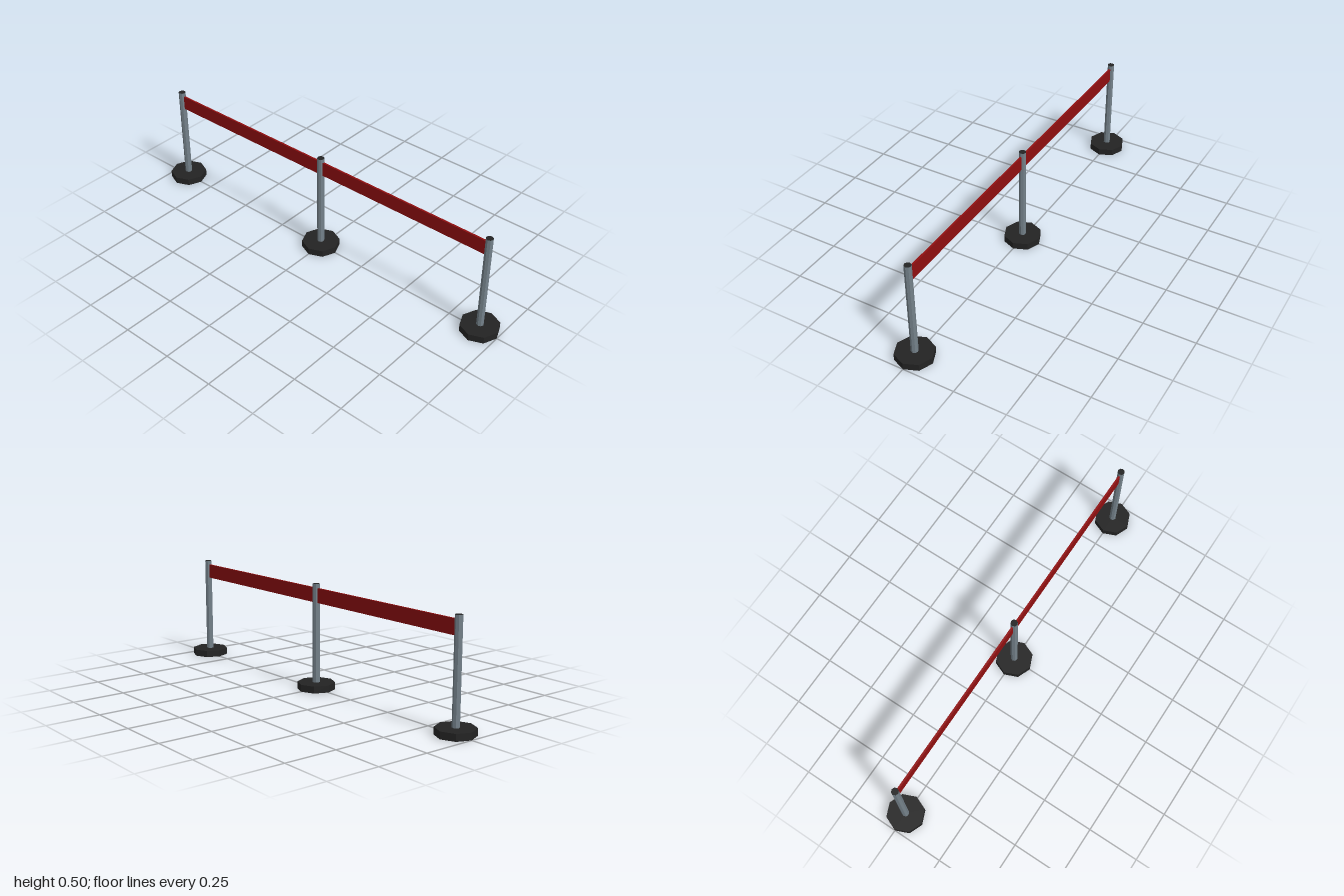
import * as THREE from 'three';

export function createModel() {
  const model = new THREE.Group();
  model.name = 'queueBarrier';

  const material = (name, color, flatShading = true) => {
    const m = new THREE.MeshStandardMaterial({ color, flatShading });
    m.name = name;
    return m;
  };
  const black = material('blackRubber', 0x232323);
  const steel = material('greySteel', 0x74818a);
  const red = material('redBelt', 0x900f10);

  const add = (parent, name, geometry, mat, x, y) => {
    const mesh = new THREE.Mesh(geometry, mat);
    mesh.name = name;
    mesh.position.set(x, y, 0);
    parent.add(mesh);
  };

  const spacing = 0.91;
  const baseHeight = 0.033;
  const postTop = 0.502;
  const postHeight = postTop - baseHeight;
  const baseGeometry = new THREE.CylinderGeometry(0.09, 0.09, baseHeight, 8);
  const postGeometry = new THREE.CylinderGeometry(0.017, 0.017, postHeight, 8);

  // Three posts on octagonal feet, each with a dark top face
  for (const [name, x] of [['rightPost', -spacing], ['middlePost', 0], ['leftPost', spacing]]) {
    const stand = new THREE.Group();
    stand.name = name;
    stand.position.x = x;
    add(stand, 'base', baseGeometry, black, 0, baseHeight / 2);
    add(stand, 'pole', postGeometry, [steel, black, black], 0, baseHeight + postHeight / 2);
    model.add(stand);
  }

  // Belts stretched between neighbouring posts
  const beltGeometry = new THREE.BoxGeometry(spacing, 0.069, 0.009);
  for (const side of [-1, 1]) {
    add(model, side < 0 ? 'rightBelt' : 'leftBelt', beltGeometry, red, side * spacing / 2, 0.448);
  }

  return model;
}
